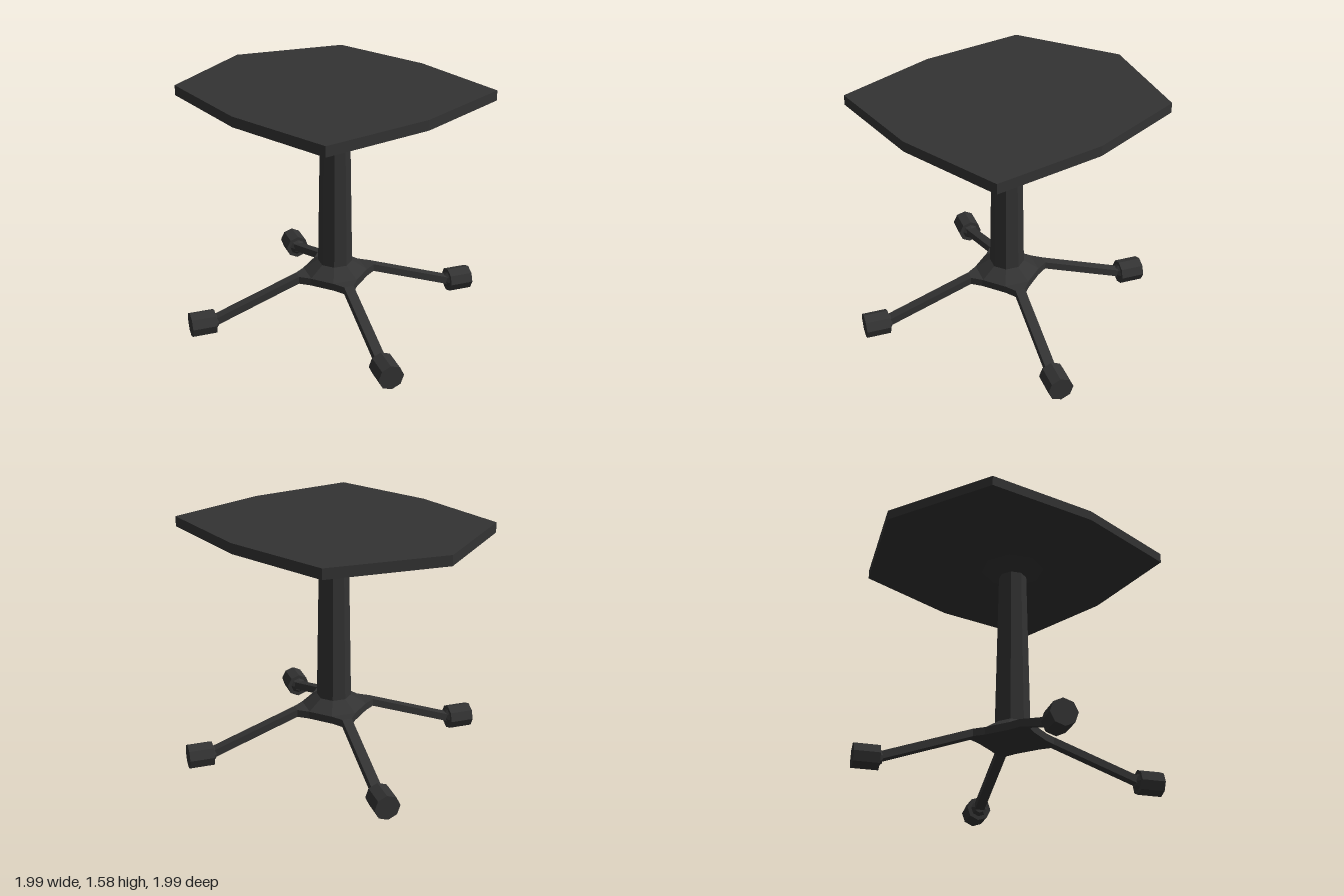
import * as THREE from 'three';

const material = new THREE.MeshStandardMaterial({ color: 0x333333, flatShading: true, side: THREE.DoubleSide });

function addMesh(parent, name, geometry) {
  const mesh = new THREE.Mesh(geometry, material);
  mesh.name = name;
  parent.add(mesh);
  return mesh;
}

// Horizontal slab from a plan outline of [x, z] corners
function slab(outline, bottom, height) {
  const shape = new THREE.Shape(outline.map(([x, z]) => new THREE.Vector2(x, -z)));
  const geometry = new THREE.ExtrudeGeometry(shape, { depth: height, bevelEnabled: false });
  return geometry.rotateX(-Math.PI / 2).translate(0, bottom, 0);
}

// Eight-sided cylinder lying along x, from x0 to x1
function lyingCylinder(x0, x1, r0, r1, y) {
  const geometry = new THREE.CylinderGeometry(r1, r0, x1 - x0, 8);
  return geometry.rotateY(0.06).rotateZ(-Math.PI / 2).translate((x0 + x1) / 2, y, 0);
}

// One sloping leg along +x with its foot
function createLeg() {
  const leg = new THREE.Group();
  leg.name = 'leg';
  const profile = [[0.18, 0.27], [0.265, 0.27], [0.84, 0.06], [0.84, 0.112], [0.265, 0.32], [0.18, 0.32]];
  const shape = new THREE.Shape(profile.map(([x, y]) => new THREE.Vector2(x, y)));
  const width = 0.065;
  const arm = new THREE.ExtrudeGeometry(shape, { depth: width, bevelEnabled: false });
  addMesh(leg, 'arm', arm.translate(0, 0, -width / 2));
  addMesh(leg, 'footCollar', lyingCylinder(0.815, 0.837, 0.035, 0.058, 0.084));
  addMesh(leg, 'foot', lyingCylinder(0.835, 0.995, 0.082, 0.082, 0.083));
  return leg;
}

export function createModel() {
  const model = new THREE.Group();
  model.name = 'pedestalTable';

  // Irregular eight-cornered top
  addMesh(model, 'tableTop', slab([
    [-0.39, -0.925], [0.37, -0.925], [0.72, -0.31], [0.915, 0.38],
    [0.3, 0.73], [-0.39, 0.925], [-0.74, 0.3], [-0.93, -0.39],
  ], 1.515, 0.065));

  const base = new THREE.Group();
  base.name = 'base';
  base.position.x = -0.007;
  model.add(base);

  // Tapered column with flared ends, flat sides facing the axes
  const toCorner = 1 / Math.cos(Math.PI / 8);
  const profile = [[0.195, 0.32], [0.105, 0.385], [0.086, 1.455], [0.195, 1.515]]
    .map(([r, y]) => new THREE.Vector2(r * toCorner, y));
  addMesh(base, 'column', new THREE.LatheGeometry(profile, 8, Math.PI / 8));

  // Hub plate, narrowing into each of the four legs
  const outline = [];
  for (let k = 0; k < 4; k++) {
    const c = Math.cos(k * Math.PI / 2), s = Math.sin(k * Math.PI / 2);
    for (const [x, z] of [[0.2, -0.08], [0.265, -0.0325], [0.265, 0.0325], [0.2, 0.08]]) {
      outline.push([x * c - z * s, x * s + z * c]);
    }
  }
  addMesh(base, 'hub', slab(outline, 0.27, 0.05));

  for (let k = 0; k < 4; k++) {
    const leg = createLeg();
    leg.rotation.y = k * Math.PI / 2;
    base.add(leg);
  }
  return model;
}
